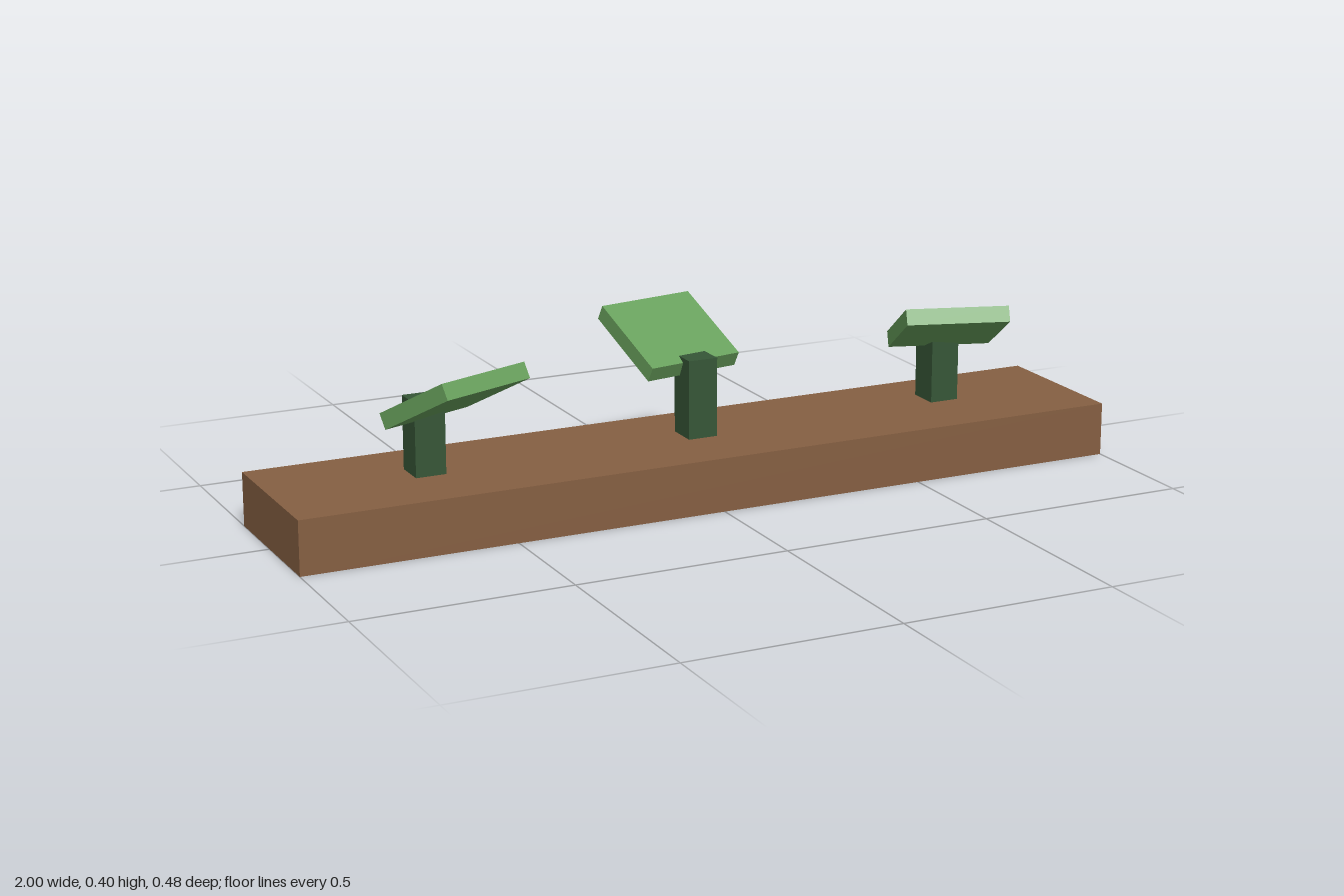
import * as THREE from 'three';

const wood = new THREE.MeshStandardMaterial({ color: 0x855f42, side: THREE.DoubleSide });
wood.name = 'brown wood';
const stemGreen = new THREE.MeshStandardMaterial({ color: 0x365637 });
stemGreen.name = 'dark green';
const leafGreen = new THREE.MeshStandardMaterial({ color: 0x68a05c });
leafGreen.name = 'light green';

const BASE_H = 0.125;
const TILT = 0.48; // slope of each leaf

function mesh(name, geometry, material) {
  const m = new THREE.Mesh(geometry, material);
  m.name = name;
  return m;
}

// Box with its underside left open
function openBox(w, h, d) {
  const g = new THREE.BoxGeometry(w, h, d);
  const index = Array.from(g.index.array);
  index.splice(18, 6); // fourth side is the bottom
  g.setIndex(index);
  g.clearGroups();
  return g;
}

// Upright stem with one sloping square leaf, raised at its outer end
function plant({ name, stem, top, leaf, yaw, facing }) {
  const group = new THREE.Group();
  group.name = name;

  const h = top - BASE_H;
  const post = mesh('stem', new THREE.BoxGeometry(0.071, h, 0.075), stemGreen);
  post.position.set(stem[0], BASE_H + h / 2, stem[1]);

  const blade = mesh('leaf', new THREE.BoxGeometry(0.242, 0.038, 0.226), leafGreen);
  blade.rotation.set(-TILT * facing, yaw, 0, 'YXZ');
  blade.position.set(...leaf);

  group.add(post, blade);
  return group;
}

export function createModel() {
  const model = new THREE.Group();
  model.name = 'planter';

  const base = mesh('base', openBox(2, BASE_H, 0.375), wood);
  base.position.set(0, BASE_H / 2, 0.0125);
  model.add(base);

  const plants = [
    { name: 'rightPlant', stem: [-0.637, -0.002], top: 0.295, leaf: [-0.601, 0.319, 0.095], yaw: 0.37, facing: 1 },
    { name: 'middlePlant', stem: [0.026, -0.001], top: 0.31, leaf: [0.008, 0.334, -0.108], yaw: 0.17, facing: -1 },
    { name: 'leftPlant', stem: [0.676, -0.023], top: 0.3, leaf: [0.645, 0.325, 0.075], yaw: -0.31, facing: 1 },
  ];
  for (const p of plants) model.add(plant(p));

  return model;
}
